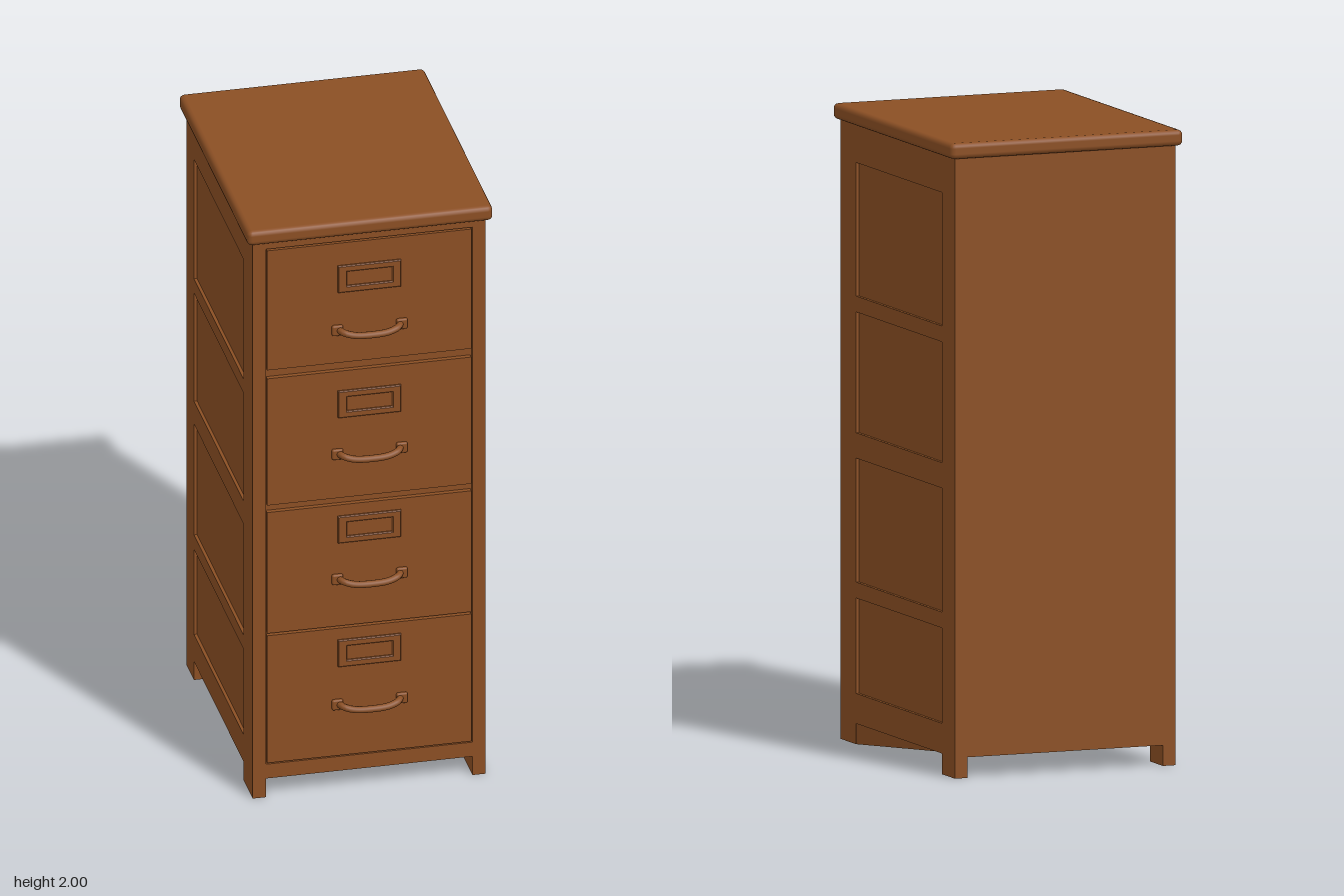
import * as THREE from 'three';
import { RoundedBoxGeometry } from 'three/addons/geometries/RoundedBoxGeometry.js';
import { ConvexGeometry } from 'three/addons/geometries/ConvexGeometry.js';

export function createModel() {
  const model = new THREE.Group();
  model.name = 'filingCabinet';
  const wood = new THREE.MeshStandardMaterial({ color: 0x8b4f24 });
  wood.name = 'brown wood';

  const add = (name, geometry, x = 0, y = 0, z = 0, parent = model) => {
    const mesh = new THREE.Mesh(geometry, wood);
    mesh.name = name;
    mesh.position.set(x, y, z);
    parent.add(mesh);
    return mesh;
  };
  // Box given by its limits on each axis
  const block = (name, x0, x1, y0, y1, z0, z1) =>
    add(name, new THREE.BoxGeometry(x1 - x0, y1 - y0, z1 - z0),
      (x0 + x1) / 2, (y0 + y1) / 2, (z0 + z1) / 2);

  // Carcass and overhanging top
  block('carcass', -0.362, 0.362, 0.065, 1.96, -0.475, 0.43);
  add('top', new RoundedBoxGeometry(0.784, 0.05, 0.96, 2, 0.016), 0, 1.975, -0.015);

  // Framed sides: stiles run down into the feet, rails divide the panels
  const sideRails = [[0.065, 0.16], [0.46, 0.51], [0.9, 0.98], [1.36, 1.41], [1.83, 1.96]];
  for (const s of [-1, 1]) {
    const [a, b] = s < 0 ? [-0.372, -0.33] : [0.33, 0.372];
    block('frontStile', a, b, 0.065, 1.96, 0.32, 0.445);
    block('backStile', a, b, 0.065, 1.96, -0.475, -0.37);
    block('frontFoot', a, b, 0, 0.065, 0.32, 0.445);
    block('backFoot', a, b, 0, 0.065, -0.475, -0.37);
    for (const [y0, y1] of sideRails) block('sideRail', a, b, y0, y1, -0.37, 0.32);
  }
  // Slanted floor corner that runs down to one front foot
  add('slantedFloor', new ConvexGeometry([
    [0.37, 0, 0.32], [0.33, 0, 0.32], [0.37, 0.07, -0.37], [-0.25, 0.07, 0.32],
    [0.37, 0.07, 0.32], [0.33, 0.07, 0.4],
  ].map((p) => new THREE.Vector3(...p))));

  block('frontTopRail', -0.33, 0.33, 1.925, 1.96, 0.4, 0.444);
  block('frontBottomRail', -0.33, 0.33, 0.065, 0.115, 0.4, 0.444);

  // Label holder frame with a window
  const rect = (path, w, h) => path.moveTo(-w, -h).lineTo(w, -h).lineTo(w, h).lineTo(-w, h).closePath();
  const frame = rect(new THREE.Shape(), 0.098, 0.044);
  frame.holes.push(rect(new THREE.Path(), 0.075, 0.028));
  const holderGeometry = new THREE.ExtrudeGeometry(frame, {
    depth: 0.005, bevelEnabled: true, bevelSize: 0.003, bevelThickness: 0.003, bevelSegments: 1,
  });

  // Bowed pull bar
  const bow = new THREE.CatmullRomCurve3([
    [-0.1, 0.004, 0], [-0.088, 0.002, 0.025], [-0.055, -0.006, 0.036], [0, -0.008, 0.04],
    [0.055, -0.006, 0.036], [0.088, 0.002, 0.025], [0.1, 0.004, 0],
  ].map((p) => new THREE.Vector3(...p)));
  const bowGeometry = new THREE.TubeGeometry(bow, 24, 0.011, 8);
  const mountGeometry = new RoundedBoxGeometry(0.036, 0.036, 0.014, 2, 0.006);

  // Drawers: bottom, top, label height, pull height
  const drawers = [
    [1.5, 1.92, 1.795, 1.615], [1.025, 1.47, 1.355, 1.18],
    [0.575, 1.0, 0.915, 0.74], [0.12, 0.567, 0.48, 0.3],
  ];
  for (const [y0, y1, label, pull] of drawers) {
    block('drawerFront', -0.326, 0.326, y0, y1, 0.4, 0.446);
    add('labelHolder', holderGeometry, 0, label, 0.446);
    const handle = new THREE.Group();
    handle.name = 'drawerPull';
    handle.position.set(0, pull, 0.445);
    add('pullBar', bowGeometry, 0, 0, 0, handle);
    for (const s of [-1, 1]) add('pullMount', mountGeometry, s * 0.103, 0.002, 0.006, handle);
    model.add(handle);
  }
  return model;
}
